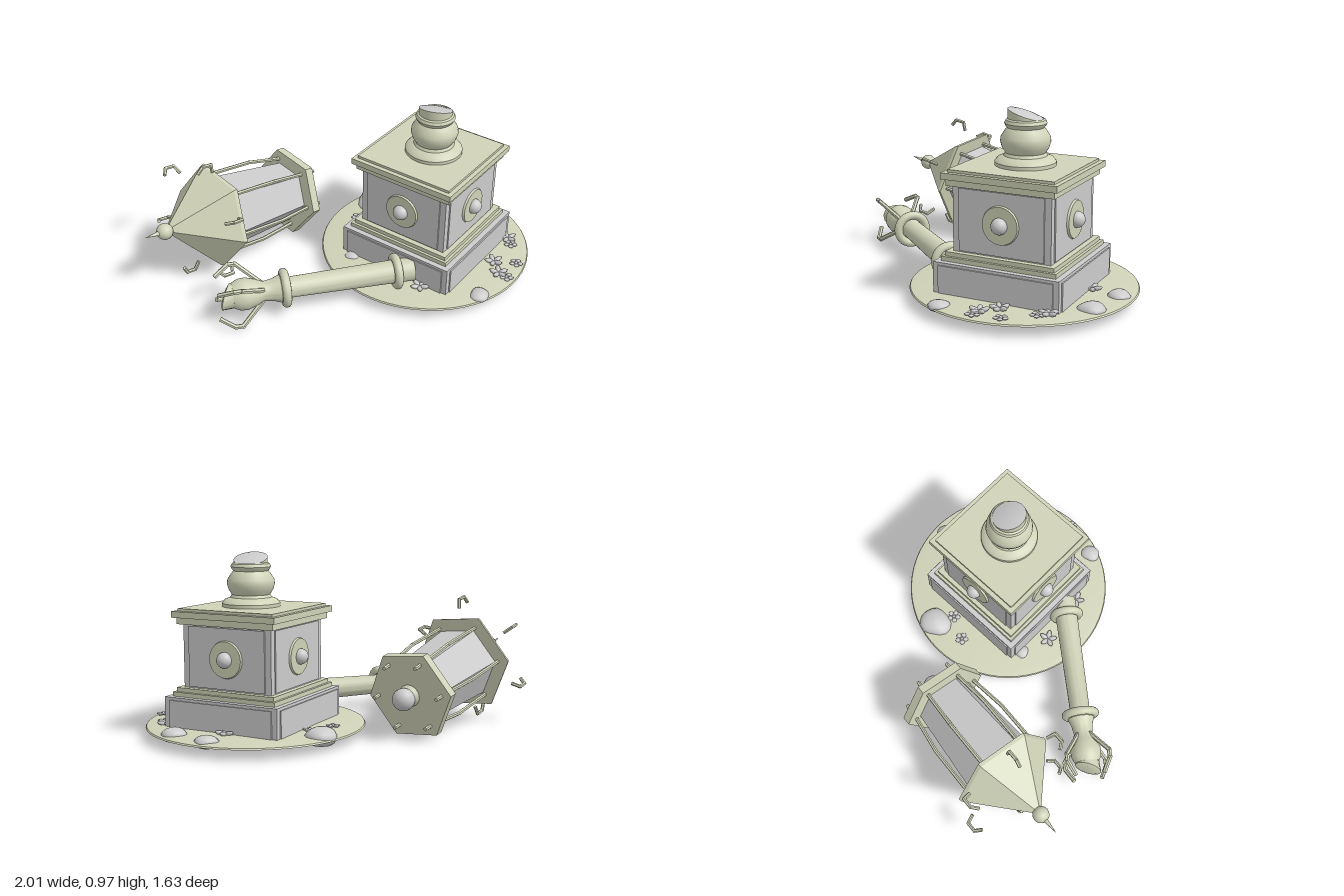
import * as THREE from 'three';
import { toCreasedNormals } from 'three/addons/utils/BufferGeometryUtils.js';

const V = (x, y, z) => new THREE.Vector3(x, y, z);

export function createModel() {
  const model = new THREE.Group();
  const metal = new THREE.MeshStandardMaterial({ color: 0xd0d3b8 });
  const stone = new THREE.MeshStandardMaterial({ color: 0xcccccc });
  metal.name = 'paleGreenMetal';
  stone.name = 'greyStone';

  const add = (parent, name, geo, mat, x = 0, y = 0, z = 0) => {
    const m = new THREE.Mesh(geo, mat);
    m.name = name;
    m.position.set(x, y, z);
    parent.add(m);
    return m;
  };
  const group = (name, parent = model) => {
    const g = new THREE.Group();
    g.name = name;
    parent.add(g);
    return g;
  };
  const lathe = (pts, seg = 40) =>
    toCreasedNormals(new THREE.LatheGeometry(pts.map(p => new THREE.Vector2(...p)), seg), 0.6);
  const ball = (r, seg = 20) => new THREE.SphereGeometry(r, seg, seg * 0.6);
  const hex = (rTop, rBottom, h) =>
    toCreasedNormals(new THREE.CylinderGeometry(rTop, rBottom, h, 6).rotateY(Math.PI / 6), 0.3);
  const rod = (parent, name, a, b, r) => {
    const geo = toCreasedNormals(new THREE.CylinderGeometry(r, r, a.distanceTo(b) + r, 6), 0.5);
    const m = add(parent, name, geo, metal);
    m.position.copy(a).lerp(b, 0.5);
    m.quaternion.setFromUnitVectors(V(0, 1, 0), b.clone().sub(a).normalize());
  };
  // chain of rods through [radius, height] points at an angle round the y axis
  const rodChain = (parent, name, pts, angle, r) => {
    const p = pts.map(([d, h]) => V(d * Math.cos(angle), h, d * Math.sin(angle)));
    for (let i = 1; i < p.length; i++) rod(parent, name, p[i - 1], p[i], r);
  };
  // group whose y axis runs along a direction and whose x axis stays level
  const along = (name, origin, dir) => {
    const g = group(name);
    const a = dir.clone().normalize();
    const x = V(a.z, 0, -a.x).normalize();
    g.quaternion.setFromRotationMatrix(new THREE.Matrix4().makeBasis(x, a, x.clone().cross(a)));
    g.position.copy(origin);
    return g;
  };
  // lathe geometry sheared above a height, for the snapped ends
  const shear = (geo, from, kx, kz) => {
    const p = geo.attributes.position;
    for (let i = 0; i < p.count; i++)
      if (p.getY(i) > from) p.setY(i, p.getY(i) + kx * p.getX(i) + kz * p.getZ(i));
    return toCreasedNormals(geo, 0.6);
  };

  // ground disc
  add(model, 'groundDisc', lathe([[0, 0.038], [0.56, 0.04], [0.59, 0.046], [0.585, 0.054], [0.55, 0.06], [0, 0.068]], 64),
    metal, 0.4, 0, -0.225);

  // square pedestal, turned a little
  const pedestal = group('pedestal');
  pedestal.position.set(0.41, 0, -0.225);
  pedestal.rotation.y = -0.265;
  const slab = (name, s, y0, y1, mat) =>
    add(pedestal, name, new THREE.BoxGeometry(s, y1 - y0, s), mat, 0, (y0 + y1) / 2, 0);
  slab('base', 0.68, 0.05, 0.22, stone);
  slab('lowerTrim', 0.62, 0.22, 0.243, metal);
  slab('upperTrim', 0.59, 0.243, 0.265, metal);
  slab('body', 0.53, 0.265, 0.605, stone);
  slab('corniceLower', 0.58, 0.6, 0.635, metal);
  slab('corniceUpper', 0.62, 0.635, 0.668, metal);
  slab('corniceTop', 0.57, 0.668, 0.682, metal);
  for (let i = 0; i < 4; i++) {
    const side = group('pedestalSide', pedestal);
    side.rotation.y = i * Math.PI / 2;
    add(side, 'basePanel', new THREE.BoxGeometry(0.62, 0.15, 0.008), stone, 0, 0.13, 0.343);
    add(side, 'bodyPanel', new THREE.BoxGeometry(0.46, 0.32, 0.008), stone, 0, 0.432, 0.268);
    add(side, 'medallion', new THREE.CylinderGeometry(0.095, 0.1, 0.014, 32).rotateX(Math.PI / 2), metal, 0, 0.43, 0.276);
    add(side, 'medallionBoss', ball(0.042), stone, 0, 0.43, 0.286);
  }

  // broken column stub on the pedestal
  const stub = group('columnStub');
  stub.position.set(0.42, 0, -0.23);
  add(stub, 'stubBody', shear(lathe([[0.155, 0.68], [0.155, 0.7], [0.14, 0.718], [0.11, 0.73], [0.102, 0.745],
    [0.118, 0.77], [0.127, 0.8], [0.124, 0.825], [0.105, 0.855], [0.093, 0.87], [0.1, 0.878], [0.107, 0.892],
    [0.1, 0.908], [0.09, 0.914], [0.09, 0.935]]), 0.925, 0, 0.33), metal);
  add(stub, 'stubBreak', shear(lathe([[0.09, 0.935], [0.06, 0.942], [0, 0.945]]), 0.925, 0, 0.33), stone);

  // fallen lamp post
  const post = along('fallenPost', V(0.44, 0.135, 0.13), V(-0.82, 0, 0.57));
  add(post, 'postShaft', lathe([[0, 0], [0.065, 0], [0.064, 0.1], [0.056, 0.7], [0.075, 0.73], [0.06, 0.77],
    [0.052, 0.82], [0.07, 0.86], [0.086, 0.91], [0.084, 0.95], [0.068, 0.985]]), metal);
  add(post, 'postBreak', shear(lathe([[0.068, 0.985], [0.07, 1.02], [0.045, 1.03], [0, 1.02]], 12), 1, 0.4, 0.2), metal);
  for (const [s, R] of [[0.095, 0.075], [0.705, 0.082]])
    add(post, 'postRing', new THREE.TorusGeometry(R, 0.024, 12, 36).rotateX(Math.PI / 2), metal, 0, s, 0);
  for (let i = 0; i < 4; i++)
    rodChain(post, 'postClaw', [[0.05, 0.83], [0.165, 0.95], [0.165, 0.99], [0.115, 1.06]], Math.PI / 4 + i * Math.PI / 2, 0.013);

  // fallen six-sided lantern
  const lantern = along('fallenLantern', V(-0.44, 0.23, -0.19), V(-0.35, 0.155, 0.8));
  lantern.rotateY(-0.1);
  add(lantern, 'lanternPlate', hex(0.25, 0.25, 0.05), metal);
  add(lantern, 'lanternNeck', lathe([[0.07, 0.0], [0.045, -0.06]].reverse(), 24), metal);
  add(lantern, 'lanternBall', ball(0.06), stone, 0, -0.085, 0);
  add(lantern, 'lanternGlass', hex(0.21, 0.17, 0.55), stone, 0, 0.295, 0);
  add(lantern, 'lanternRoofRim', hex(0.285, 0.29, 0.02), metal, 0, 0.565, 0);
  add(lantern, 'lanternRoof', hex(0.03, 0.285, 0.28), metal, 0, 0.715, 0);
  add(lantern, 'lanternFinial', ball(0.045), metal, 0, 0.89, 0);
  add(lantern, 'finialSpike', new THREE.ConeGeometry(0.014, 0.1, 10), metal, 0, 0.97, 0);
  for (let i = 0; i < 6; i++) {
    const a = i * Math.PI / 3;
    rodChain(lantern, 'lanternBar', [[0.19, -0.07], [0.195, 0.02], [0.225, 0.25], [0.225, 0.57]], a, 0.011);
    rodChain(lantern, 'roofClaw', [[0.3, 0.62], [0.345, 0.635], [0.345, 0.69], [0.31, 0.715]], a + Math.PI / 6, 0.01);
  }

  // rocks, half sunk through the disc
  const rocks = [[0.51, -0.72, 0.062], [0.72, -0.61, 0.07], [-0.02, -0.49, 0.09], [0.82, 0.12, 0.052], [0.06, 0.05, 0.04]];
  rocks.forEach(([x, z, r], k) => {
    const g = ball(r, 16);
    const p = g.attributes.position;
    for (let i = 0; i < p.count; i++) {
      const n = 1 + 0.07 * Math.sin(p.getX(i) / r * 3 + k) + 0.07 * Math.cos(p.getZ(i) / r * 4 + k);
      p.setXYZ(i, p.getX(i) * n, p.getY(i) * 0.55, p.getZ(i) * n);
    }
    g.computeVertexNormals();
    add(model, 'rock', g, stone, x, 0.055, z);
  });

  // little five-petalled flowers
  for (const [x, z] of [[0.06, -0.41], [-0.04, -0.3], [0.87, -0.37], [0.94, -0.21], [0.92, -0.07]]) {
    const flower = group('flower');
    flower.position.set(x, 0.068, z);
    add(flower, 'flowerCentre', ball(0.01, 8), stone);
    for (let i = 0; i < 5; i++) {
      const a = i * Math.PI * 0.4;
      add(flower, 'petal', ball(0.015, 8), stone, 0.024 * Math.cos(a), 0, 0.024 * Math.sin(a)).scale.y = 0.4;
    }
  }

  // leaf tufts round the pedestal
  for (const [x, z] of [[0.82, -0.18], [0.87, -0.09], [0.2, 0.15], [0.5, 0.18], [0.46, -0.58], [0.84, -0.42]]) {
    const tuft = group('leafTuft');
    tuft.position.set(x, 0.07, z);
    for (let i = 0; i < 5; i++) {
      const a = i * 1.257 + x * 5;
      const leaf = add(tuft, 'leaf', ball(0.03, 8), stone, 0.025 * Math.cos(a), 0, 0.025 * Math.sin(a));
      leaf.scale.set(1, 0.4, 0.5);
      leaf.rotation.set(0, -a, 0.3);
    }
  }
  return model;
}
